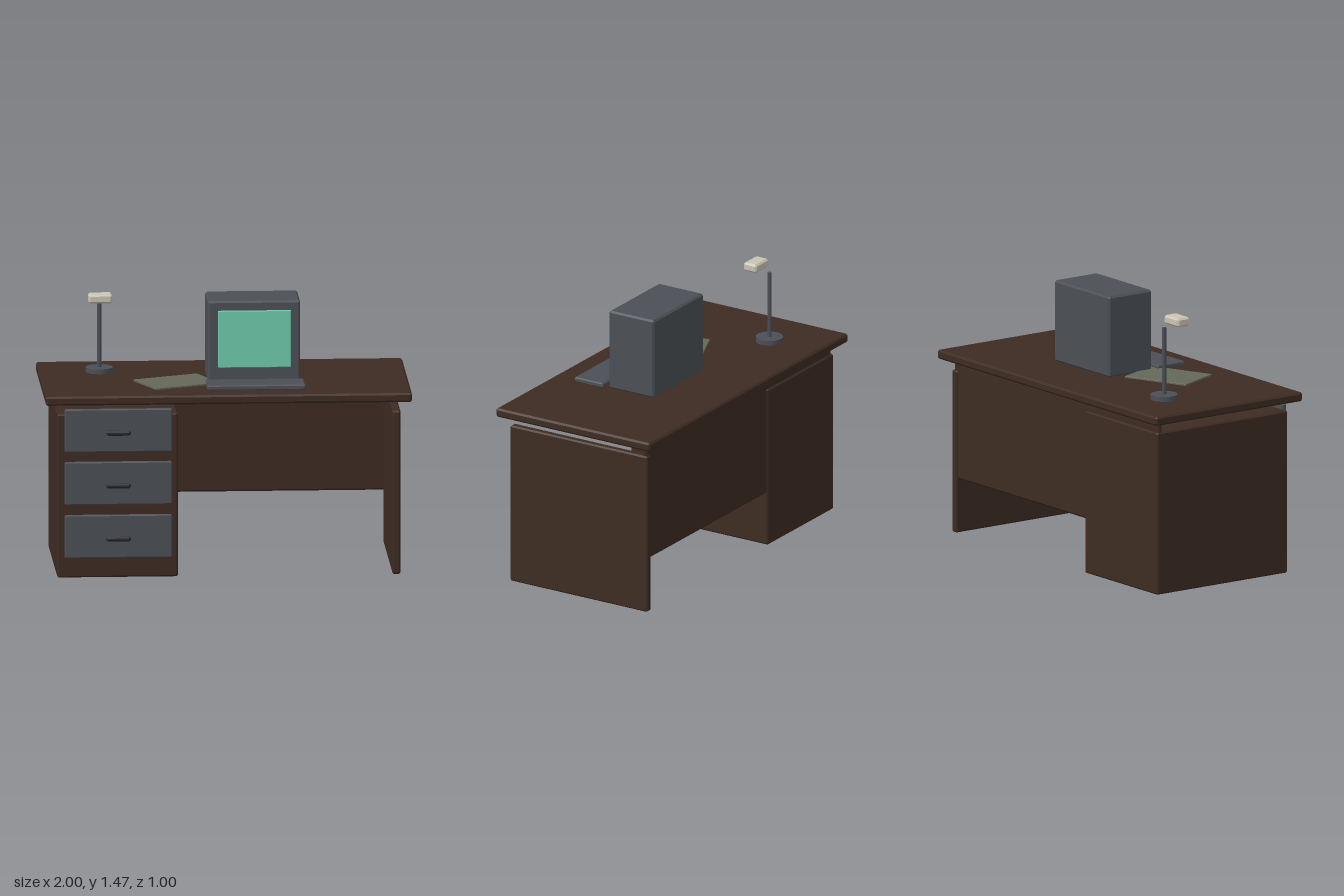
import * as THREE from 'three';
import { ConvexGeometry } from 'three/addons/geometries/ConvexGeometry.js';

const material = (name, color) => {
  const m = new THREE.MeshStandardMaterial({ color });
  m.name = name;
  return m;
};

// Box with flat chamfered edges, centred on the origin
function chamferBox(w, h, d, c) {
  const points = [];
  for (const x of [-w / 2, w / 2]) for (const y of [-h / 2, h / 2]) for (const z of [-d / 2, d / 2]) {
    const ix = x - Math.sign(x) * c, iy = y - Math.sign(y) * c, iz = z - Math.sign(z) * c;
    points.push(
      new THREE.Vector3(x, iy, iz),
      new THREE.Vector3(ix, y, iz),
      new THREE.Vector3(ix, iy, z)
    );
  }
  return new ConvexGeometry(points);
}

export function createModel() {
  const model = new THREE.Group();
  model.name = 'officeDesk';

  const wood = material('darkWood', 0x3d2b22);
  const grey = material('slateGrey', 0x4b4f55);
  const dark = material('handleGrey', 0x2b2e33);
  const glow = material('screenGreen', 0x6fcbab);
  const paper = material('paperOlive', 0x66675a);
  const cream = material('lampCream', 0xcac4b4);

  const add = (name, geometry, mat, x, y, z, parent = model) => {
    const mesh = new THREE.Mesh(geometry, mat);
    mesh.name = name;
    mesh.position.set(x, y, z);
    parent.add(mesh);
    return mesh;
  };
  // Chamfered box given by its extents on each axis
  const block = (name, mat, [x0, x1], [y0, y1], [z0, z1], c = 0.008, parent = model) =>
    add(name, chamferBox(x1 - x0, y1 - y0, z1 - z0, c), mat,
      (x0 + x1) / 2, (y0 + y1) / 2, (z0 + z1) / 2, parent);

  // Desk body
  block('desktop', wood, [-1, 1], [0.965, 1.015], [-0.5, 0.5], 0.01);
  block('drawerPedestal', wood, [-0.935, -0.275], [0, 0.907], [-0.445, 0.445]);
  block('sidePanel', wood, [0.895, 0.94], [0, 0.907], [-0.445, 0.445]);
  block('backPanel', wood, [-0.93, 0.93], [0.3, 0.962], [-0.435, -0.405], 0.01);

  // Drawers with bar handles
  for (const y of [0.23, 0.525, 0.818]) {
    const drawer = new THREE.Group();
    drawer.name = 'drawer';
    model.add(drawer);
    block('drawerFront', grey, [-0.895, -0.308], [y - 0.119, y + 0.119], [0.44, 0.466], 0.006, drawer);
    block('drawerHandle', dark, [-0.67, -0.535], [y - 0.026, y + 0.002], [0.46, 0.488], 0.01, drawer);
  }

  // Computer
  const computer = new THREE.Group();
  computer.name = 'computer';
  model.add(computer);
  block('monitorCase', grey, [-0.095, 0.408], [1.015, 1.467], [-0.145, 0.147], 0.01, computer);
  block('screen', glow, [-0.04, 0.358], [1.1, 1.415], [0.144, 0.16], 0.003, computer);
  block('keyboard', grey, [-0.11, 0.425], [1.013, 1.041], [0.175, 0.36], 0.006, computer);

  // Turned sheet of paper
  const sheet = add('paperSheet', chamferBox(0.385, 0.012, 0.28, 0.002), paper, -0.267, 1.019, 0.13);
  sheet.rotation.y = 0.4;

  // Desk lamp
  const lamp = new THREE.Group();
  lamp.name = 'deskLamp';
  model.add(lamp);
  add('lampBase', new THREE.CylinderGeometry(0.075, 0.075, 0.03, 16).toNonIndexed(), grey, -0.67, 1.027, -0.2, lamp);
  add('lampPole', new THREE.CylinderGeometry(0.0125, 0.0125, 0.375, 8), grey, -0.67, 1.2275, -0.2, lamp);
  block('lampHead', cream, [-0.735, -0.605], [1.418, 1.467], [-0.155, -0.07], 0.01, lamp);

  return model;
}
